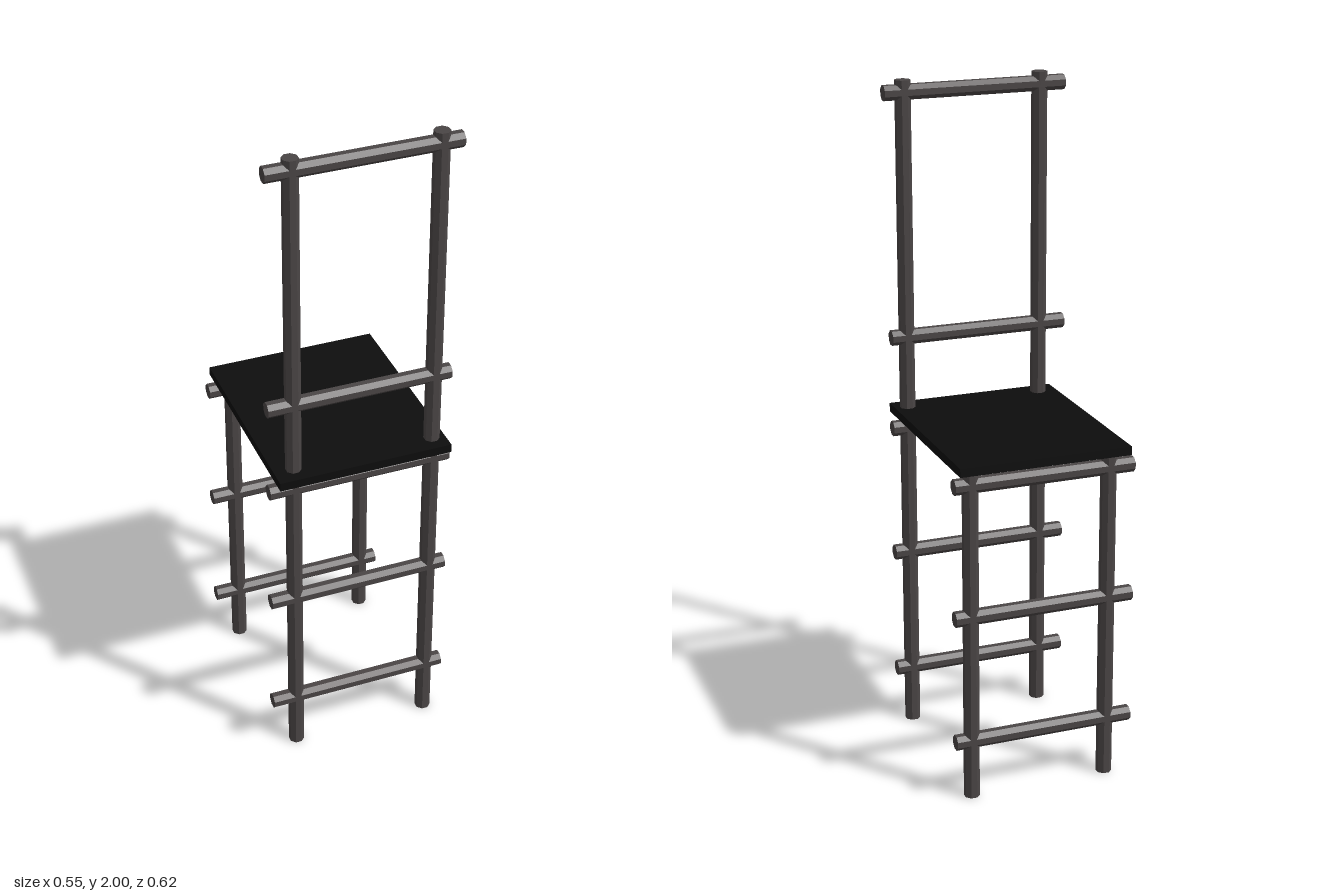
import * as THREE from 'three';

const FRONT_Z = 0.254, BACK_Z = -0.28;
const POST_X = [-0.202, 0.216];
const RADIUS = 0.0215 / Math.cos(Math.PI / 8); // octagon measured across its flats

export function createModel() {
  const model = new THREE.Group();
  const wood = new THREE.MeshStandardMaterial({ color: 0x4a4545, flatShading: true });
  const dark = new THREE.MeshStandardMaterial({ color: 0x0d0d0d, flatShading: true });

  // Eight-sided pole standing on y = 0, flats facing the axes
  const pole = (length) =>
    new THREE.CylinderGeometry(RADIUS, RADIUS, length, 8).rotateY(Math.PI / 8);

  const addPost = (name, x, z, height) => {
    const post = new THREE.Mesh(pole(height), wood);
    post.name = name;
    post.position.set(x, height / 2, z);
    model.add(post);
  };

  const addRung = (name, y, z, x0 = -0.277, x1 = 0.265) => {
    const rung = new THREE.Mesh(pole(x1 - x0).rotateZ(Math.PI / 2), wood);
    rung.name = name;
    rung.position.set((x0 + x1) / 2, y, z);
    model.add(rung);
  };

  // Tall front posts and short back legs
  POST_X.forEach((x, i) => {
    const side = i === 0 ? 'Right' : 'Left';
    addPost('tallPost' + side, x, FRONT_Z, 2);
    addPost('shortLeg' + side, x, BACK_Z, 1.0);
  });

  // Rungs below the seat on both frames
  [0.178, 0.565, 0.963].forEach((y, i) => {
    addRung('frontRung' + (i + 1), y, FRONT_Z);
    addRung('backRung' + (i + 1), y, BACK_Z);
  });

  // Rails of the tall frame above the seat
  addRung('lowerRail', 1.244, FRONT_Z, -0.279, 0.264);
  addRung('topRail', 1.965, FRONT_Z, -0.277, 0.275);

  // Thin seat board
  const seat = new THREE.Mesh(new THREE.BoxGeometry(0.515, 0.026, 0.617), dark);
  seat.name = 'seat';
  seat.position.set(-0.0025, 1.013, -0.0015);
  model.add(seat);

  return model;
}
